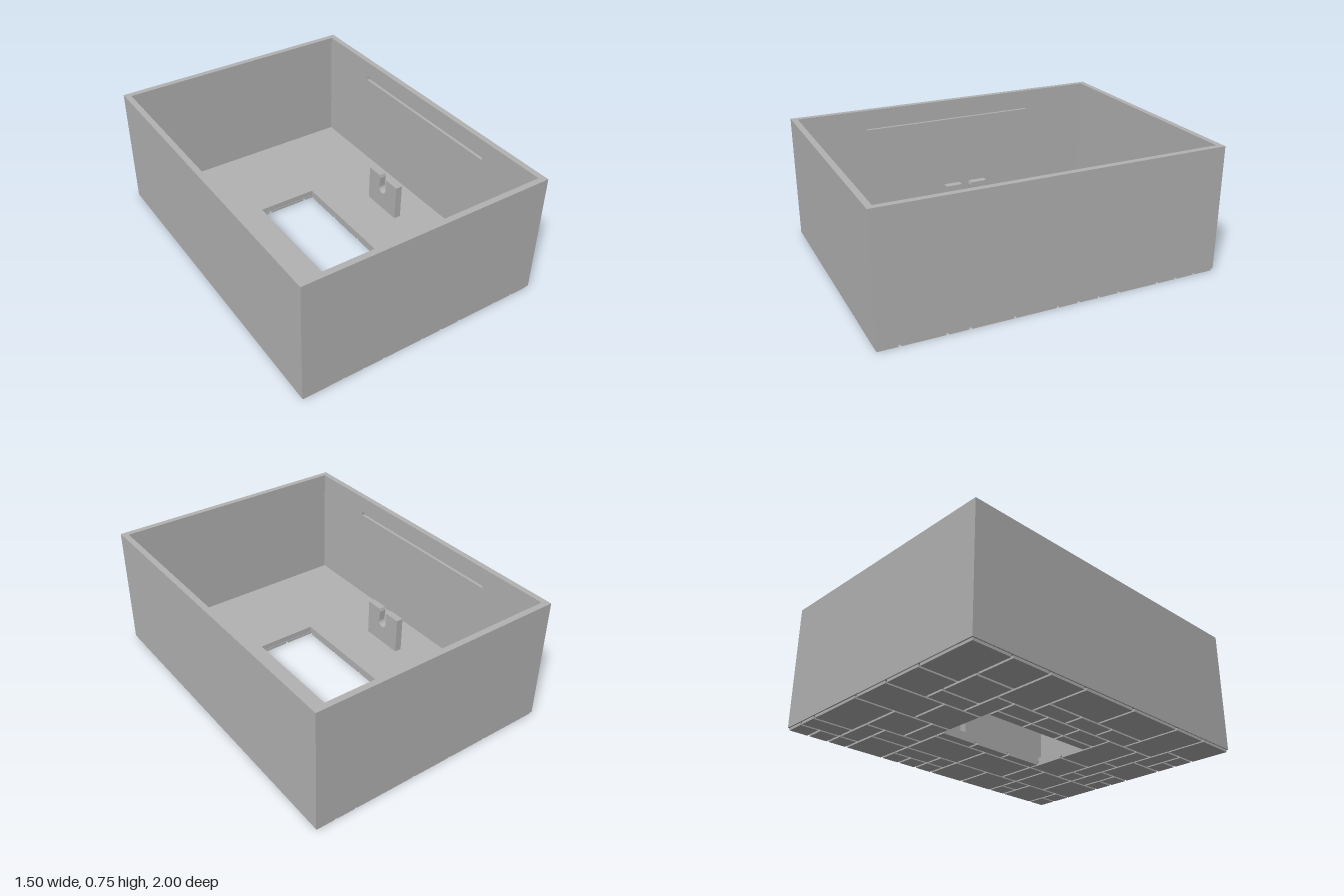
import * as THREE from 'three';

const W = 0.75, D = 1, TOP = 0.75;     // half width, half depth, height
const BASE = 0.015, FLOOR = 0.05;      // paving layer and floor top
const T = 0.035, SLOT = 0.018;         // wall thickness, slot depth
const HX = 0.185, HZ = 0.385;          // half size of the floor opening

function rect(P, x0, y0, x1, y1) {
  const p = new P();
  p.moveTo(x0, y0);
  p.lineTo(x1, y0);
  p.lineTo(x1, y1);
  p.lineTo(x0, y1);
  p.closePath();
  return p;
}

// extrude a (z, y) outline along x, starting at x0
function extrudeX(shape, x0, depth) {
  const g = new THREE.ExtrudeGeometry(shape, { depth, bevelEnabled: false, curveSegments: 16 });
  g.rotateY(Math.PI / 2);              // outline x becomes -z
  g.translate(x0, 0, 0);
  return g;
}

export function createModel() {
  const model = new THREE.Group();
  model.name = 'pavedBox';
  const grey = new THREE.MeshStandardMaterial({ color: 0xb2b2b2 });
  grey.name = 'grey';

  const add = (name, geometry, parent = model) => {
    const m = new THREE.Mesh(geometry, grey);
    m.name = name;
    parent.add(m);
    return m;
  };
  const addBox = (name, x0, x1, y0, y1, z0, z1, parent) => {
    const g = new THREE.BoxGeometry(x1 - x0, y1 - y0, z1 - z0);
    g.translate((x0 + x1) / 2, (y0 + y1) / 2, (z0 + z1) / 2);
    return add(name, g, parent);
  };

  // floor with rectangular opening
  const floorShape = rect(THREE.Shape, -W + T, -D + T, W - T, D - T);
  floorShape.holes.push(rect(THREE.Path, -HX, -HZ, HX, HZ));
  const floor = new THREE.ExtrudeGeometry(floorShape, { depth: FLOOR - BASE, bevelEnabled: false });
  floor.rotateX(-Math.PI / 2);
  floor.translate(0, BASE, 0);
  add('floor', floor);

  // end walls
  addBox('frontWall', -W + T, W - T, BASE, TOP, D - T, D);
  addBox('backWall', -W + T, W - T, BASE, TOP, -D, -D + T);

  // side walls: outer panel plus inner lining with a long slot
  for (const s of [1, -1]) {
    const side = new THREE.Group();
    side.name = s > 0 ? 'leftWall' : 'rightWall';
    model.add(side);
    const xs = [s * W, s * (W - T + SLOT)].sort((a, b) => a - b);
    addBox('outerPanel', xs[0], xs[1], BASE, TOP, -D, D, side);
    const lining = rect(THREE.Shape, -D, BASE, D, TOP);
    lining.holes.push(rect(THREE.Path, -0.55, 0.625, 0.55, 0.655));
    add('slottedLining', extrudeX(lining, s > 0 ? W - T : -W + T - SLOT, SLOT), side);
  }

  // cradles: two posts joined below a rounded notch with small lips
  const cradle = new THREE.Shape();
  cradle.moveTo(-0.132, FLOOR);
  cradle.lineTo(0.138, FLOOR);
  cradle.lineTo(0.138, 0.275);
  cradle.lineTo(0.035, 0.275);
  cradle.lineTo(0.03, 0.255);
  cradle.lineTo(0.035, 0.19);
  cradle.absarc(0.003, 0.19, 0.032, 0, -Math.PI, true);
  cradle.lineTo(-0.024, 0.255);
  cradle.lineTo(-0.03, 0.275);
  cradle.lineTo(-0.132, 0.275);
  cradle.closePath();
  add('leftCradle', extrudeX(cradle, 0.458, 0.043));
  add('rightCradle', extrudeX(cradle, -0.501, 0.043));

  // paving on the underside, laid on a grid of small cells
  const paving = new THREE.Group();
  paving.name = 'paving';
  model.add(paving);
  const C = 0.125, G = 0.0075, NX = 12, NZ = 16;
  const used = Array.from({ length: NX }, () => new Array(NZ).fill(false));
  let seed = 11;
  const random = () => (seed = (seed * 16807) % 2147483647) / 2147483647;

  const fits = (i, j, w, h) => {
    if (i + w > NX || j + h > NZ) return false;
    for (let a = 0; a < w; a++) for (let b = 0; b < h; b++) if (used[i + a][j + b]) return false;
    return true;
  };
  const lay = (i, j, w, h) => {
    for (let a = 0; a < w; a++) for (let b = 0; b < h; b++) used[i + a][j + b] = true;
    let x0 = -W + i * C + G, x1 = -W + (i + w) * C - G;
    const z0 = -D + j * C + G, z1 = -D + (j + h) * C - G;
    // trim slabs beside the opening
    if (z0 < HZ - 0.01 && z1 > -HZ + 0.01) {
      if (x0 > 0) x0 = Math.max(x0, HX);
      else x1 = Math.min(x1, -HX);
    }
    addBox('slab', x0, x1, 0, BASE, z0, z1, paving);
  };

  // cells inside the opening stay empty, with narrow slabs along its sides
  for (let i = 5; i < 7; i++) for (let j = 5; j < 11; j++) used[i][j] = true;
  for (const i of [4, 7]) for (let j = 5; j < 11; j += 2) lay(i, j, 1, 2);

  // left edge and front row
  let row = NZ;
  for (const h of [1, 2, 1, 2, 2, 1, 1, 1, 2, 1, 1, 1]) {
    row -= h;
    lay(h === 2 ? 10 : 11, row, h === 2 ? 2 : 1, h);
  }
  for (let i = 0; i < 10; i += 2) lay(i, 14, 2, i % 4 ? 1 : 2);

  // remaining slabs, largest size that fits first
  const sizes = [[3, 2], [2, 3], [2, 2], [2, 1], [1, 2], [1, 1]];
  for (let j = 0; j < NZ; j++) {
    for (let i = 0; i < NX; i++) {
      if (used[i][j]) continue;
      const start = Math.floor(random() * 5);
      const [w, h] = sizes.slice(start).find(([a, b]) => fits(i, j, a, b));
      lay(i, j, w, h);
    }
  }
  return model;
}
